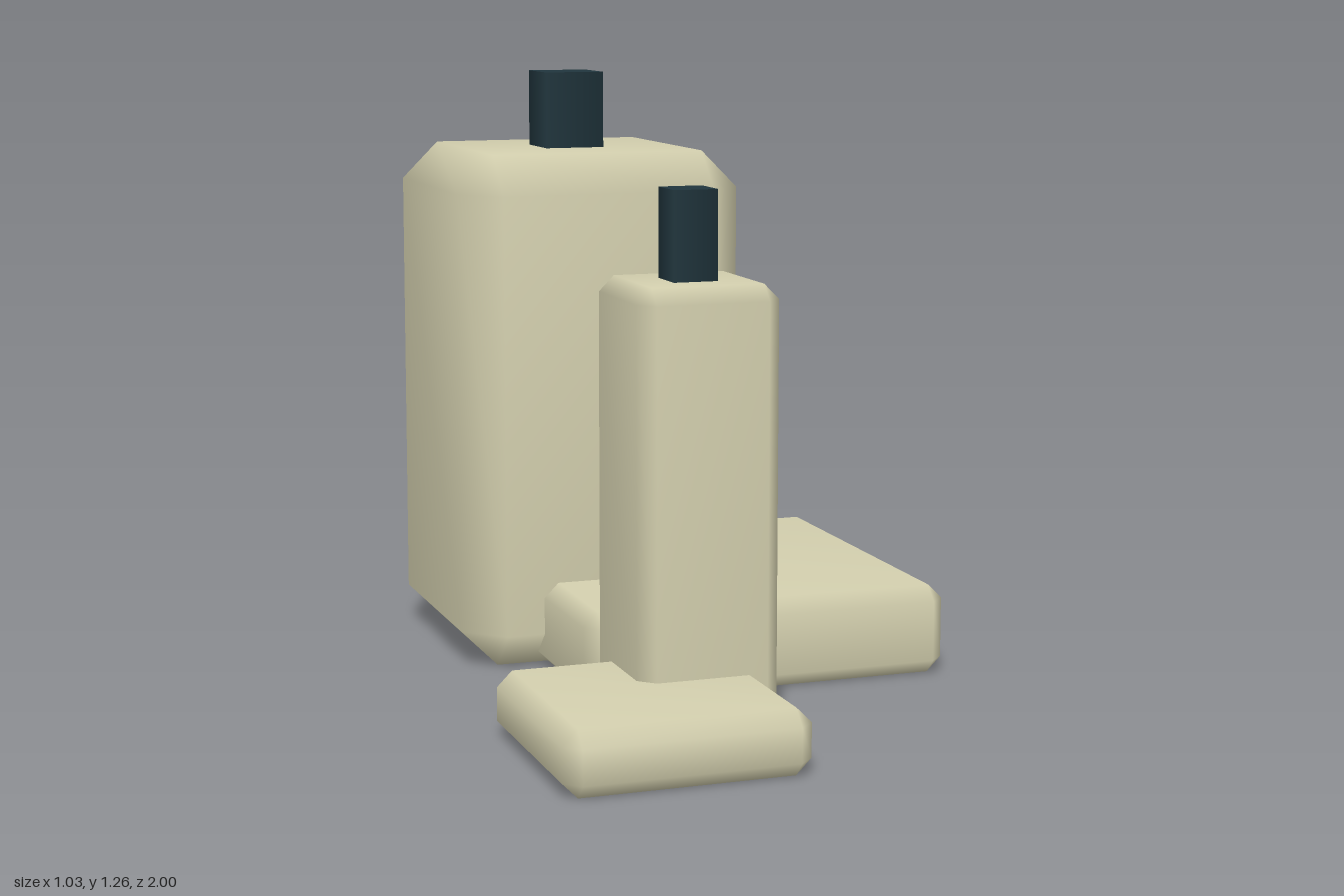
import * as THREE from 'three';
import { mergeVertices } from 'three/addons/utils/BufferGeometryUtils.js';
import { ConvexGeometry } from 'three/addons/geometries/ConvexGeometry.js';

const stone = new THREE.MeshStandardMaterial({ color: 0xd3cfae });
stone.name = 'pale stone';
const slate = new THREE.MeshStandardMaterial({ color: 0x20353d });
slate.name = 'dark slate';

// Box with a single 45 degree chamfer on every edge, shaded smooth
function chamferedBox(w, h, d, c) {
  const points = [];
  for (const sx of [-1, 1]) for (const sy of [-1, 1]) for (const sz of [-1, 1]) {
    const [x, y, z] = [w / 2, h / 2, d / 2];
    points.push(
      new THREE.Vector3(sx * x, sy * (y - c), sz * (z - c)),
      new THREE.Vector3(sx * (x - c), sy * y, sz * (z - c)),
      new THREE.Vector3(sx * (x - c), sy * (y - c), sz * z));
  }
  const hull = new ConvexGeometry(points);
  hull.deleteAttribute('normal');
  const geometry = mergeVertices(hull, 1e-4);
  geometry.computeVertexNormals();
  return geometry;
}

// Stone block standing on the ground
function block(name, x, z, w, h, d, chamfer) {
  const mesh = new THREE.Mesh(chamferedBox(w, h, d, chamfer), stone);
  mesh.name = name;
  mesh.position.set(x, h / 2, z);
  return mesh;
}

// Square chimney with smooth sides, sunk slightly into the block below
function chimney(name, x, z, width, base, top) {
  const sink = 0.02;
  const h = top - base + sink;
  const r = width * Math.SQRT1_2;
  const geometry = new THREE.CylinderGeometry(r, r, h, 4).rotateY(Math.PI / 4);
  const mesh = new THREE.Mesh(geometry, slate);
  mesh.name = name;
  mesh.position.set(x, top - h / 2, z);
  return mesh;
}

export function createModel() {
  const model = new THREE.Group();
  model.name = 'blockTowers';

  // Towers, each with a chimney: x, z, width, height, chamfer, chimney width, chimney top
  const towers = [
    ['main', -0.137, -0.207, 0.625, 1.098, 0.08, 0.13, 1.262],
    ['slim', -0.136, 0.582, 0.29, 0.89, 0.031, 0.09, 1.068],
    ['rear', 0.164, -0.788, 0.424, 0.528, 0.054, 0.13, 0.718],
  ];
  for (const [name, x, z, w, h, c, cw, top] of towers) {
    model.add(block(name + 'Tower', x, z, w, h, w, c));
    model.add(chimney(name + 'Chimney', x, z, cw, h, top));
  }

  // Low slabs beside the towers
  model.add(block('mainSlab', 0.113, 0.008, 0.8, 0.19, 0.8, 0.031));
  model.add(block('frontSlab', -0.273, 0.756, 0.488, 0.13, 0.488, 0.031));
  return model;
}
